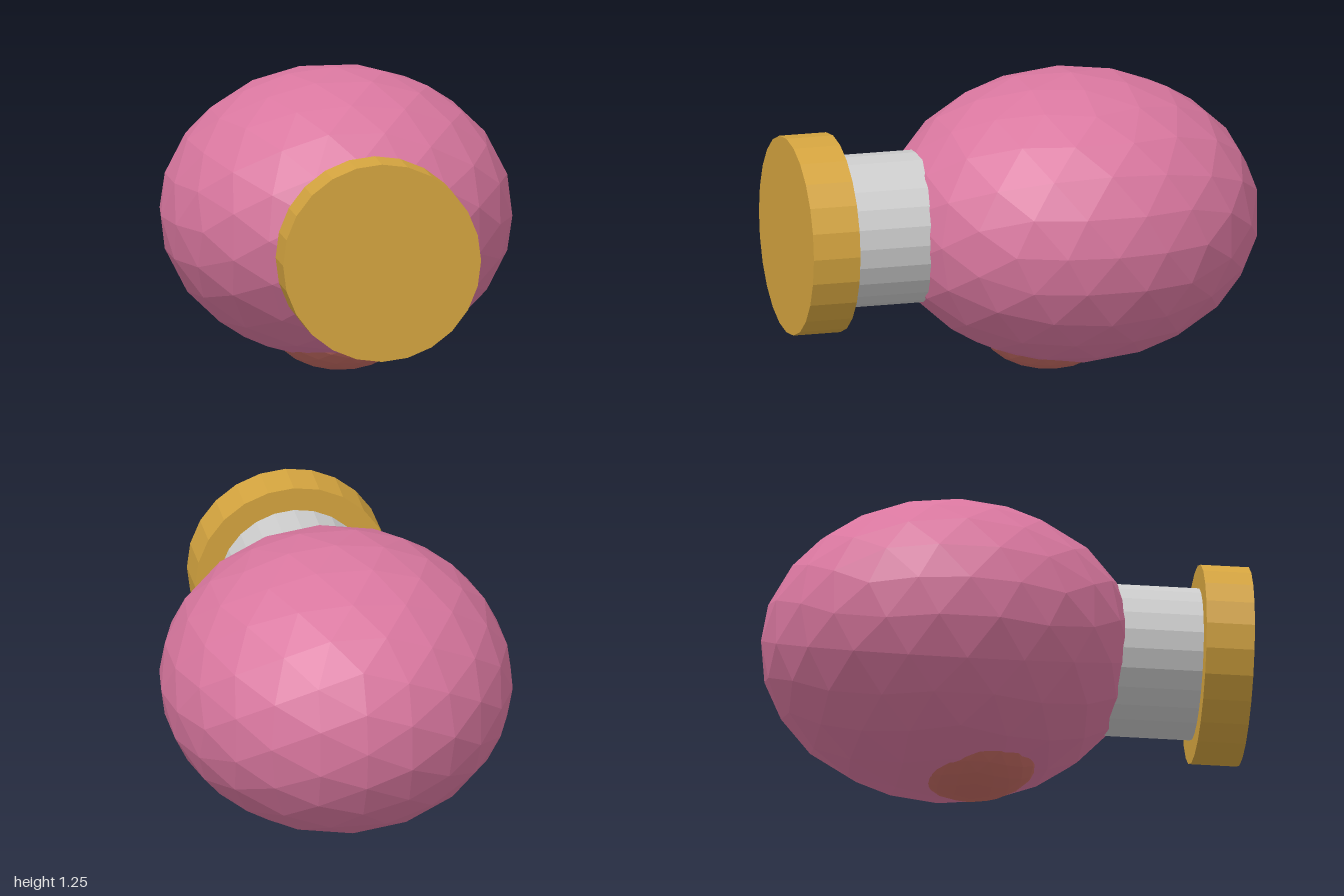
import * as THREE from 'three';

// Faceted ball made by halving the edges of an icosahedron twice
function icoBall(halvings = 2) {
  let geo = new THREE.IcosahedronGeometry(1, 0);
  for (let i = 0; i < halvings; i++) {
    const points = Array.from(geo.attributes.position.array);
    const order = Array.from({ length: points.length / 3 }, (_, k) => k);
    geo = new THREE.PolyhedronGeometry(points, order, 1, 1);
  }
  return geo;
}

export function createModel() {
  const group = new THREE.Group();
  const axisY = 0.638;

  const add = (name, geometry, color, x, y, z) => {
    const material = new THREE.MeshStandardMaterial({ color, flatShading: true });
    const mesh = new THREE.Mesh(geometry, material);
    mesh.name = name;
    mesh.position.set(x, y, z);
    group.add(mesh);
  };

  // Cylinder lying along z, between two depths
  const addDisc = (name, radius, zBack, zFront, color) => {
    const geo = new THREE.CylinderGeometry(radius, radius, zFront - zBack, 24);
    geo.rotateX(Math.PI / 2);
    add(name, geo, color, 0, axisY, (zBack + zFront) / 2);
  };

  // Large rounded bulb and the small pad beneath it
  add('bulb', icoBall().scale(0.73, 0.605, 0.78), 0xd9779f, 0, 0.64, -0.22);
  add('bottomPad', icoBall().scale(0.28, 0.18, 0.28), 0xc46a62, 0, 0.18, -0.12);

  // Neck reaching into the bulb, and the wide end cap
  addDisc('neck', 0.315, 0.2, 0.81, 0xcccccc);
  addDisc('endCap', 0.413, 0.8, 1, 0xd4a43f);

  return group;
}
